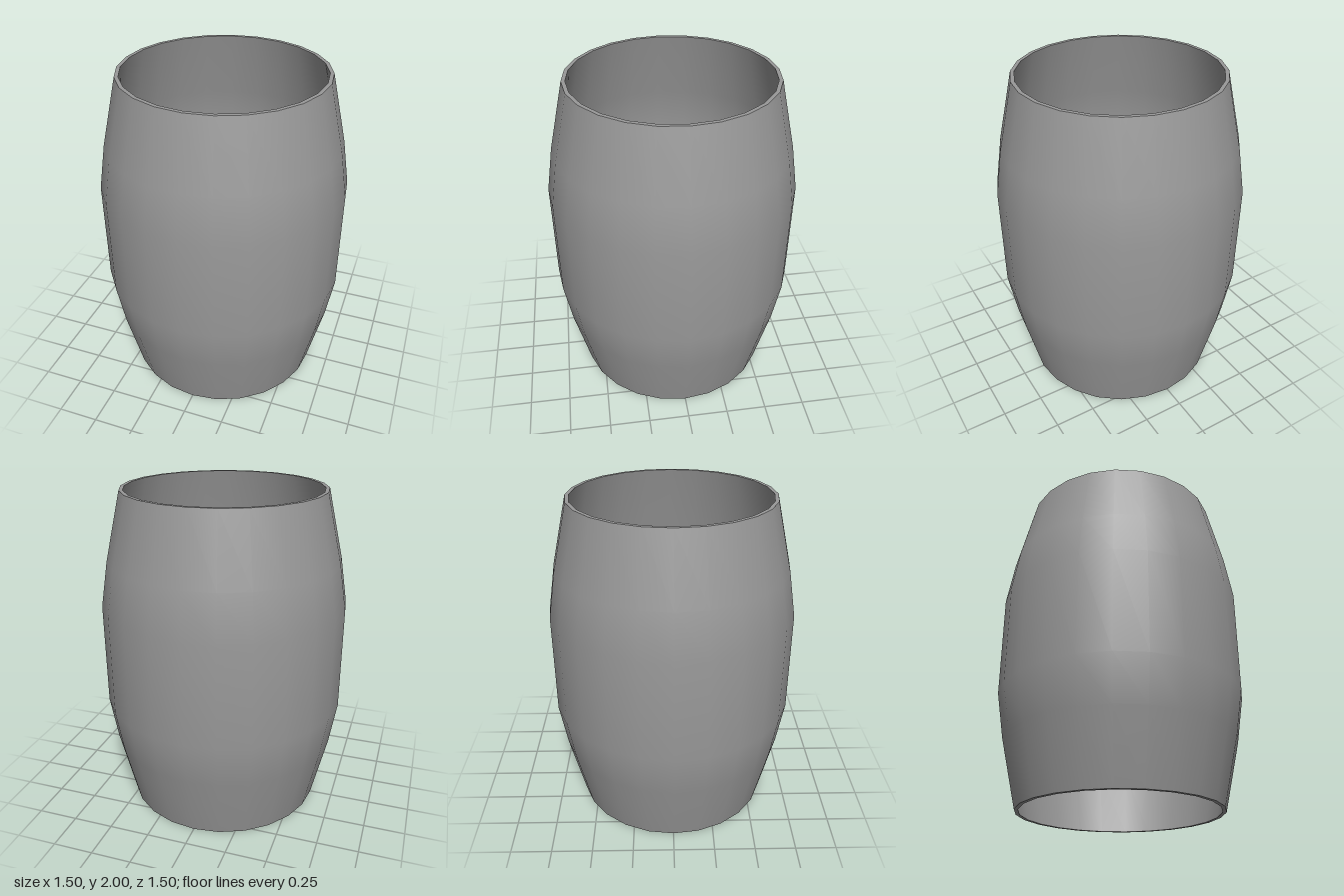
import * as THREE from 'three';

const SIDES = 24;
const WALL = 0.023;

// Bulged wall profile as [radius, height], bottom to top
const PROFILE = [
  [0.61, 0], [0.705, 0.41], [0.75, 0.685],
  [0.75, 1.315], [0.705, 1.59], [0.61, 2],
];

export function createModel() {
  const group = new THREE.Group();
  group.name = 'openBarrel';
  const material = new THREE.MeshStandardMaterial({ color: 0x999999 });

  // Each surface is its own lathe, so the rim edges stay sharp
  const addLathe = (name, points) => {
    const path = points.map(([r, y]) => new THREE.Vector2(r, y));
    const mesh = new THREE.Mesh(new THREE.LatheGeometry(path, SIDES), material);
    mesh.name = name;
    group.add(mesh);
  };

  const outer = PROFILE;
  const inner = PROFILE.map(([r, y]) => [r - WALL, y]).reverse();

  // Walls: upward path faces out, downward path faces in
  addLathe('outerWall', outer);
  addLathe('innerWall', inner);

  // Flat rims closing the wall thickness at both open ends
  addLathe('topRim', [outer[outer.length - 1], inner[0]]);
  addLathe('bottomRim', [inner[inner.length - 1], outer[0]]);

  return group;
}
